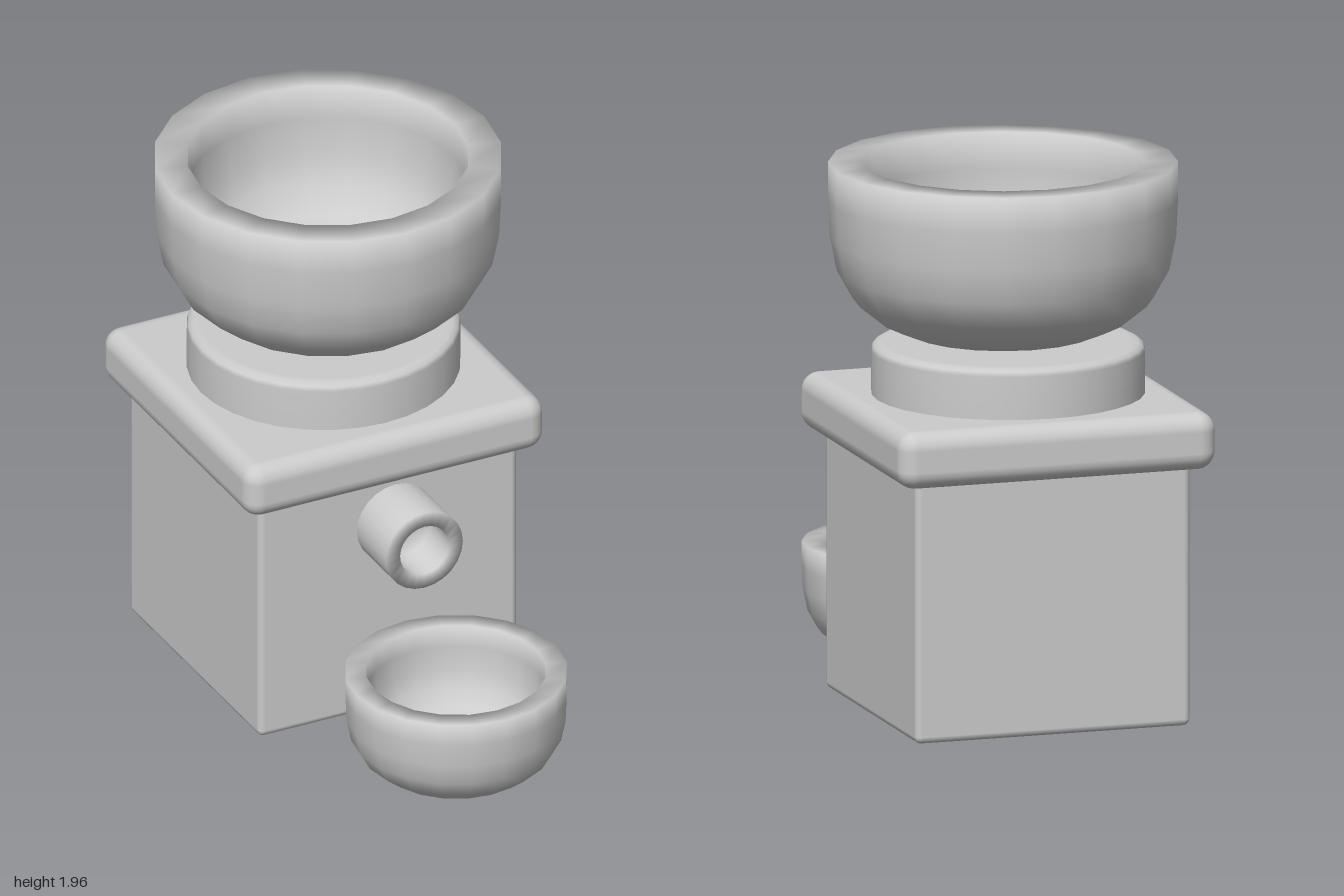
import * as THREE from 'three';
import { RoundedBoxGeometry } from 'three/addons/geometries/RoundedBoxGeometry.js';

const material = new THREE.MeshStandardMaterial({ color: 0xcccccc });

function add(parent, name, geometry, x, y, z) {
  const mesh = new THREE.Mesh(geometry, material);
  mesh.name = name;
  mesh.position.set(x, y, z);
  parent.add(mesh);
  return mesh;
}

function lathe(points, segments) {
  return new THREE.LatheGeometry(points.map(([r, y]) => new THREE.Vector2(r, y)), segments);
}

// Thick bowl of unit radius: outside from the base to the rim, then inside down to the floor
const bowlProfile = [
  [0, 0], [0.33, 0.005], [0.53, 0.04], [0.7, 0.11], [0.86, 0.24], [0.95, 0.4],
  [0.99, 0.6], [1, 0.82], [1, 1.035],
  [0.81, 1.035], [0.81, 0.82], [0.79, 0.6], [0.74, 0.43], [0.62, 0.29],
  [0.46, 0.22], [0.25, 0.19], [0, 0.185],
];

function addBowl(parent, name, radius, x, y, z) {
  const geometry = lathe(bowlProfile, 20).scale(radius, radius, radius);
  return add(parent, name, geometry, x, y, z);
}

export function createModel() {
  const model = new THREE.Group();
  model.name = 'grinder';
  const cx = -0.02, cz = -0.385;

  // Square housing with softened edges and an overhanging top plate
  add(model, 'body', new RoundedBoxGeometry(1.01, 0.96, 1.01, 2, 0.025), cx, 0.495, cz);
  add(model, 'topPlate', new RoundedBoxGeometry(1.166, 0.205, 1.166, 3, 0.065), cx, 1.037, cz);

  // Round collar under the hopper
  add(model, 'collar', lathe([
    [0, 0], [0.478, 0], [0.478, 0.02], [0.478, 0.19], [0.472, 0.206],
    [0.455, 0.215], [0.43, 0.218], [0, 0.218],
  ], 32), cx, 1.102, cz);

  // Hopper on top and catch bowl in front
  addBowl(model, 'hopperBowl', 0.61, 0, 1.33, -0.39);
  addBowl(model, 'catchBowl', 0.39, -0.005, 0.003, 0.61);

  // Hollow spout on the front face
  const spout = add(model, 'spout', lathe([
    [0.15, 0], [0.15, 0.245], [0.095, 0.245], [0.095, 0.09], [0, 0.09],
  ], 24), 0.005, 0.75, 0.1);
  spout.rotation.x = Math.PI / 2;

  return model;
}
